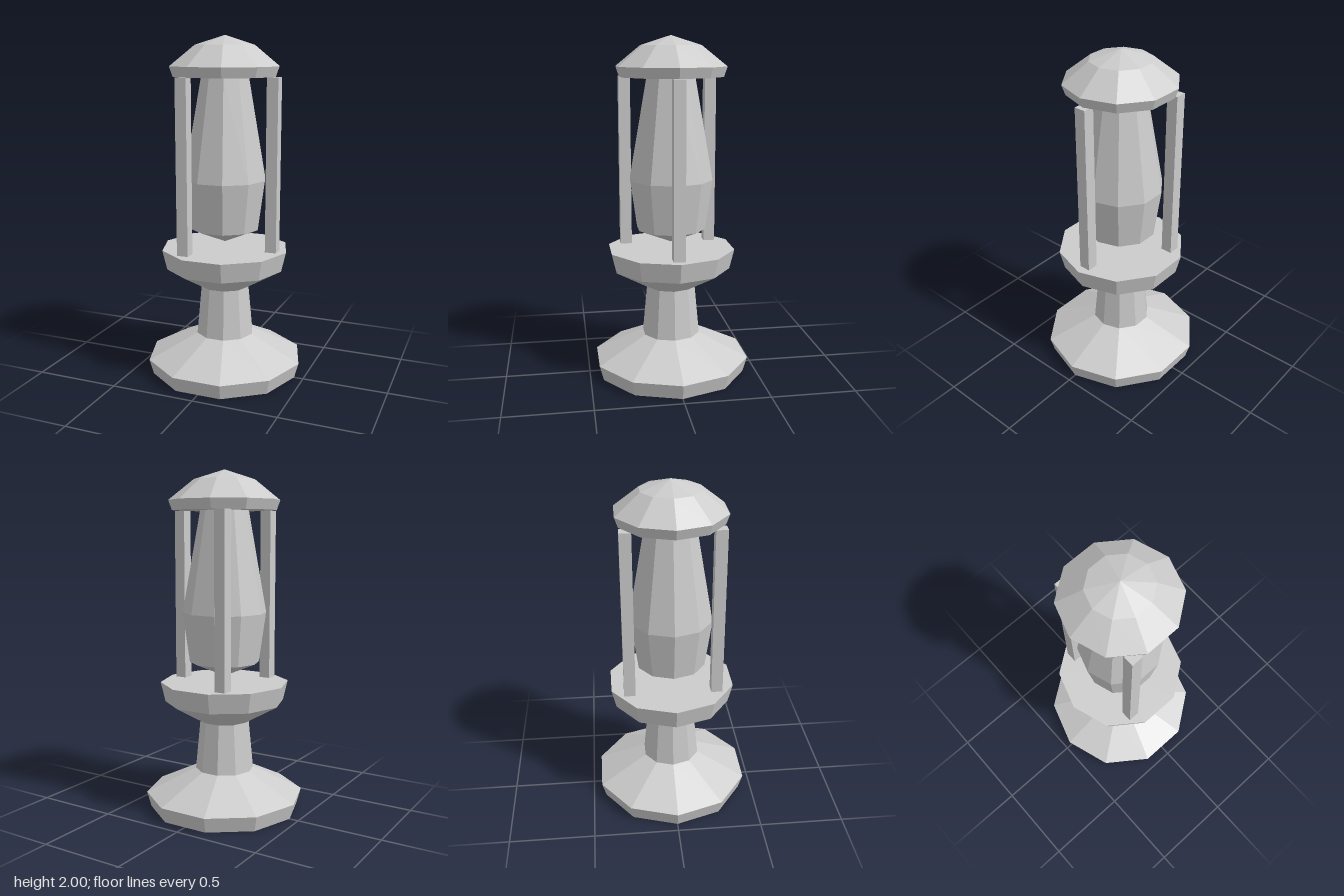
import * as THREE from 'three';

const SIDES = 10;

export function createModel() {
  const group = new THREE.Group();
  const stone = new THREE.MeshStandardMaterial({ color: 0xcccccc, flatShading: true });
  stone.name = 'light grey stone';

  // Ten-sided turned part from [radius, height] pairs, listed bottom to top
  function turned(name, profile) {
    const points = profile.map(([r, y]) => new THREE.Vector2(r, y));
    const geometry = new THREE.LatheGeometry(points, SIDES, Math.PI / 2).toNonIndexed();
    geometry.computeVertexNormals();
    const mesh = new THREE.Mesh(geometry, stone);
    mesh.name = name;
    group.add(mesh);
  }

  // Pedestal
  turned('foot', [[0, 0], [0.445, 0], [0.47, 0.09], [0.173, 0.237], [0, 0.237]]);
  turned('neck', [[0.173, 0.237], [0.145, 0.532]]);
  turned('bowl', [[0, 0.532], [0.145, 0.532], [0.352, 0.65], [0.38, 0.767], [0, 0.767]]);

  // Hanging lamp body
  turned('lampBody', [[0, 0.8], [0.205, 0.886], [0.246, 1.18], [0.141, 1.77]]);

  // Faceted roof
  turned('roof', [[0, 1.77], [0.303, 1.77], [0.323, 1.828], [0.176, 1.945], [0, 2]]);

  // Three square posts between bowl and roof
  for (let i = 0; i < 3; i++) {
    const angle = (i * Math.PI * 2) / 3;
    const post = new THREE.Mesh(new THREE.BoxGeometry(0.067, 1.003, 0.067), stone);
    post.name = 'post' + (i + 1);
    post.position.set(0.295 * Math.cos(angle), 1.2685, 0.295 * Math.sin(angle));
    group.add(post);
  }

  return group;
}
